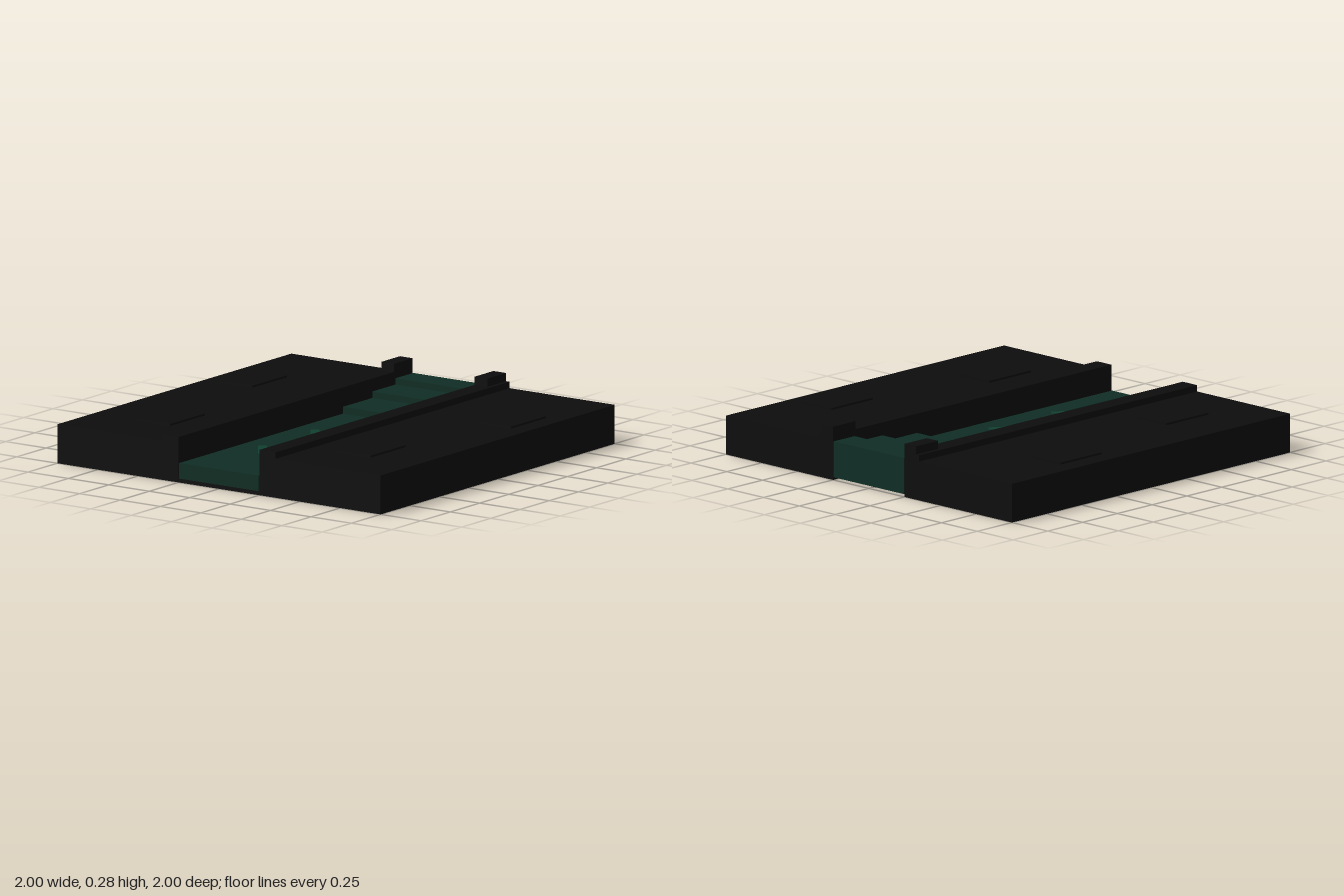
import * as THREE from 'three';

export function createModel() {
  const model = new THREE.Group();
  model.name = 'channelTile';

  const material = (name, color) => {
    const m = new THREE.MeshStandardMaterial({ color });
    m.name = name;
    return m;
  };
  const black = material('blackMetal', 0x0d0d0d);
  const green = material('darkGreen', 0x0f2d24);
  const bright = material('markerGreen', 0x10402f);

  // Box given by its limits on each axis
  const box = (name, mat, [x0, x1], [y0, y1], [z0, z1]) => {
    const mesh = new THREE.Mesh(new THREE.BoxGeometry(x1 - x0, y1 - y0, z1 - z0), mat);
    mesh.position.set((x0 + x1) / 2, (y0 + y1) / 2, (z0 + z1) / 2);
    mesh.name = name;
    model.add(mesh);
    return mesh;
  };

  // Slabs, rails, end posts and raised plates on both sides of the channel
  for (const side of [1, -1]) {
    const span = (a, b) => (side > 0 ? [a, b] : [-b, -a]);
    box('sideSlab', black, [-1, 1], [0, 0.2], span(0.25, 1));
    box('rail', black, [-1, 1], [0.2, 0.233], span(0.25, 0.35));
    box('railPost', black, [0.84, 1], [0.233, 0.275], span(0.25, 0.328));
    box('raisedPlate', black, [-0.7, -0.4], [0.2, 0.21], span(0.52, 0.72));
    box('raisedPlate', black, [0.25, 0.55], [0.2, 0.21], span(0.7, 0.9));
  }

  // Channel floor and the green lane lying on it
  box('channelFloor', black, [-1, 0.4], [0, 0.02], [-0.25, 0.25]);
  box('lane', green, [-1, 0.4], [0.02, 0.1], [-0.246, 0.246]);

  // Steps climbing towards the end of the lane
  const stepEdges = [0.4, 0.65, 0.85, 1];
  const stepTops = [0.135, 0.168, 0.2];
  stepTops.forEach((top, i) => {
    box('step', green, [stepEdges[i], stepEdges[i + 1]], [0.014, top], [-0.246, 0.246]);
  });

  // Arrow markers, each made of two angled bars
  for (const x of [-0.525, -0.075]) {
    for (const side of [1, -1]) {
      const bar = box('arrowBar', bright, [x - 0.095, x + 0.095], [0.1, 0.106], [-0.0225, 0.0225]);
      bar.position.z = side * 0.075;
      bar.rotation.y = -side * 0.62;
    }
  }

  return model;
}
